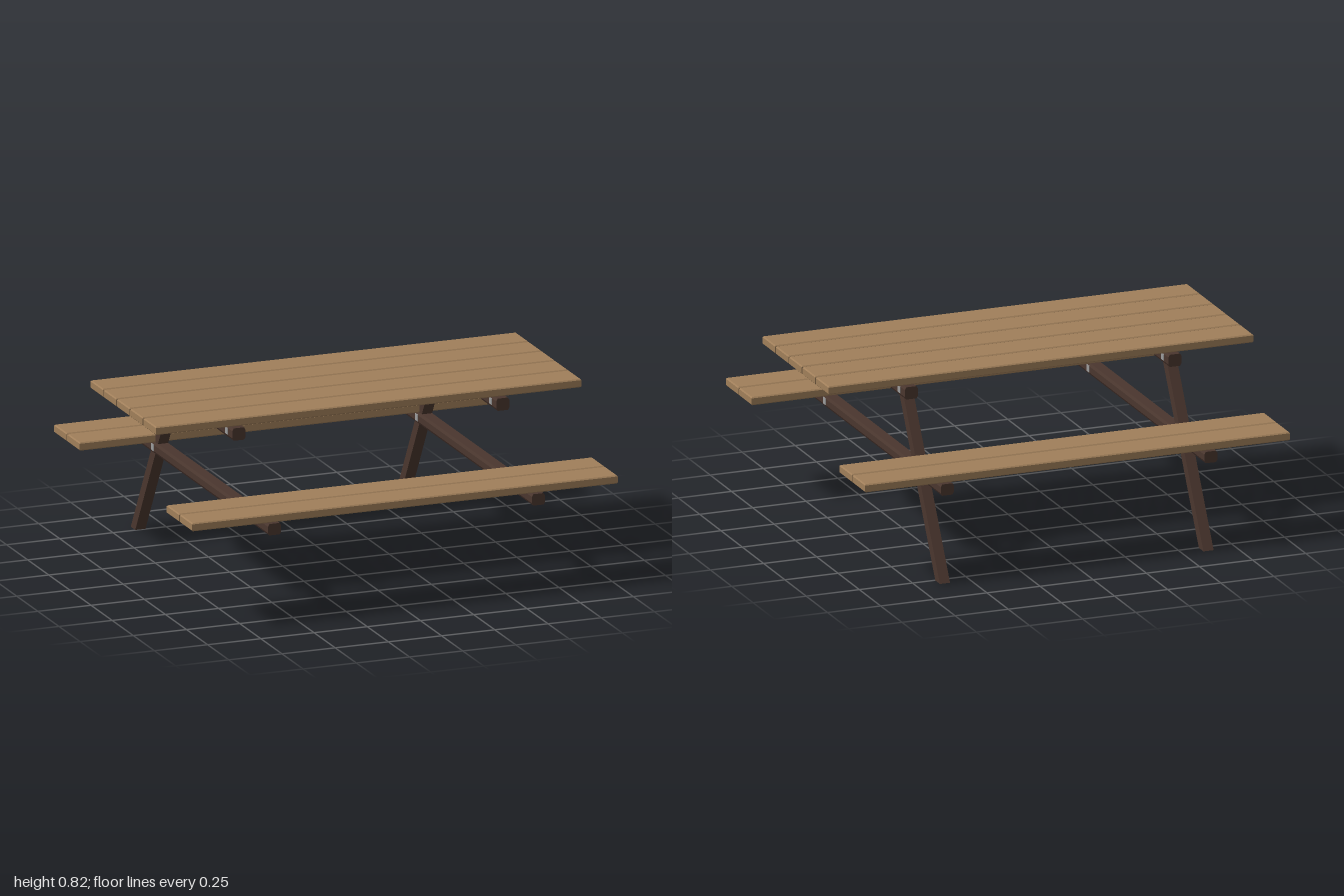
import * as THREE from 'three';

const mat = (name, color) => {
  const m = new THREE.MeshStandardMaterial({ color });
  m.name = name;
  return m;
};

export function createModel() {
  const table = new THREE.Group();
  table.name = 'picnicTable';
  const plankWood = mat('plankWood', 0xa07f5a);
  const frameWood = mat('frameWood', 0x4a362e);
  const steel = mat('boltSteel', 0x9c9c9c);

  const add = (name, geometry, material, x, y, z) => {
    const mesh = new THREE.Mesh(geometry, material);
    mesh.name = name;
    mesh.position.set(x, y, z);
    table.add(mesh);
    return mesh;
  };

  // Plank along x with a small chamfer on every edge
  const plankGeometry = (length, height, depth, b) => {
    const w = length / 2 - b, d = depth / 2 - b;
    const s = new THREE.Shape([[-w, -d], [w, -d], [w, d], [-w, d]].map(p => new THREE.Vector2(...p)));
    return new THREE.ExtrudeGeometry(s, {
      depth: height - 2 * b, bevelEnabled: true, bevelSegments: 1, bevelSize: b, bevelThickness: b,
    }).translate(0, 0, -height / 2 + b).rotateX(-Math.PI / 2);
  };

  // Beam along z with chamfered long edges
  const beamGeometry = (length, width, height) => {
    const w = width / 2, h = height / 2, cx = 0.007, cy = 0.012;
    const s = new THREE.Shape([
      [-w + cx, -h], [w - cx, -h], [w, -h + cy], [w, h - cy],
      [w - cx, h], [-w + cx, h], [-w, h - cy], [-w, -h + cy],
    ].map(p => new THREE.Vector2(...p)));
    return new THREE.ExtrudeGeometry(s, { depth: length, bevelEnabled: false }).translate(0, 0, -length / 2);
  };

  // Table top and seats
  const plank = plankGeometry(2, 0.038, 0.147, 0.005);
  for (let i = -2; i <= 2; i++) add('topPlank', plank, plankWood, 0, 0.803, i * 0.157);
  for (const side of [-1, 1]) {
    for (const z of [0.588, 0.744]) add('seatPlank', plank, plankWood, 0, 0.483, side * z);
  }

  // Slanted leg outline (z, y), cut level at both ends
  const legZ = y => -0.78 + y * 0.577;
  const legShape = new THREE.Shape([
    [legZ(0) - 0.027, 0], [legZ(0) + 0.027, 0],
    [legZ(0.78) + 0.027, 0.78], [legZ(0.78) - 0.027, 0.78],
  ].map(p => new THREE.Vector2(...p)));
  const legGeometry = new THREE.ExtrudeGeometry(legShape, { depth: 0.048, bevelEnabled: false })
    .translate(0, 0, -0.024).rotateY(-Math.PI / 2);

  // Two end frames
  const topBeam = beamGeometry(0.826, 0.062, 0.056);
  const seatBeam = beamGeometry(1.67, 0.062, 0.052);
  const bolt = new THREE.BoxGeometry(0.066, 0.03, 0.03);
  for (const x of [-0.62, 0.62]) {
    add('topBeam', topBeam, frameWood, x, 0.756, 0);
    add('seatBeam', seatBeam, frameWood, x, 0.439, 0);
    add('backLeg', legGeometry, frameWood, x, 0, 0);
    for (const side of [-1, 1]) {
      add('topBolt', bolt, steel, x, 0.757, side * 0.347);
      add('seatBolt', bolt, steel, x, 0.44, side * 0.529);
    }
  }
  return table;
}
